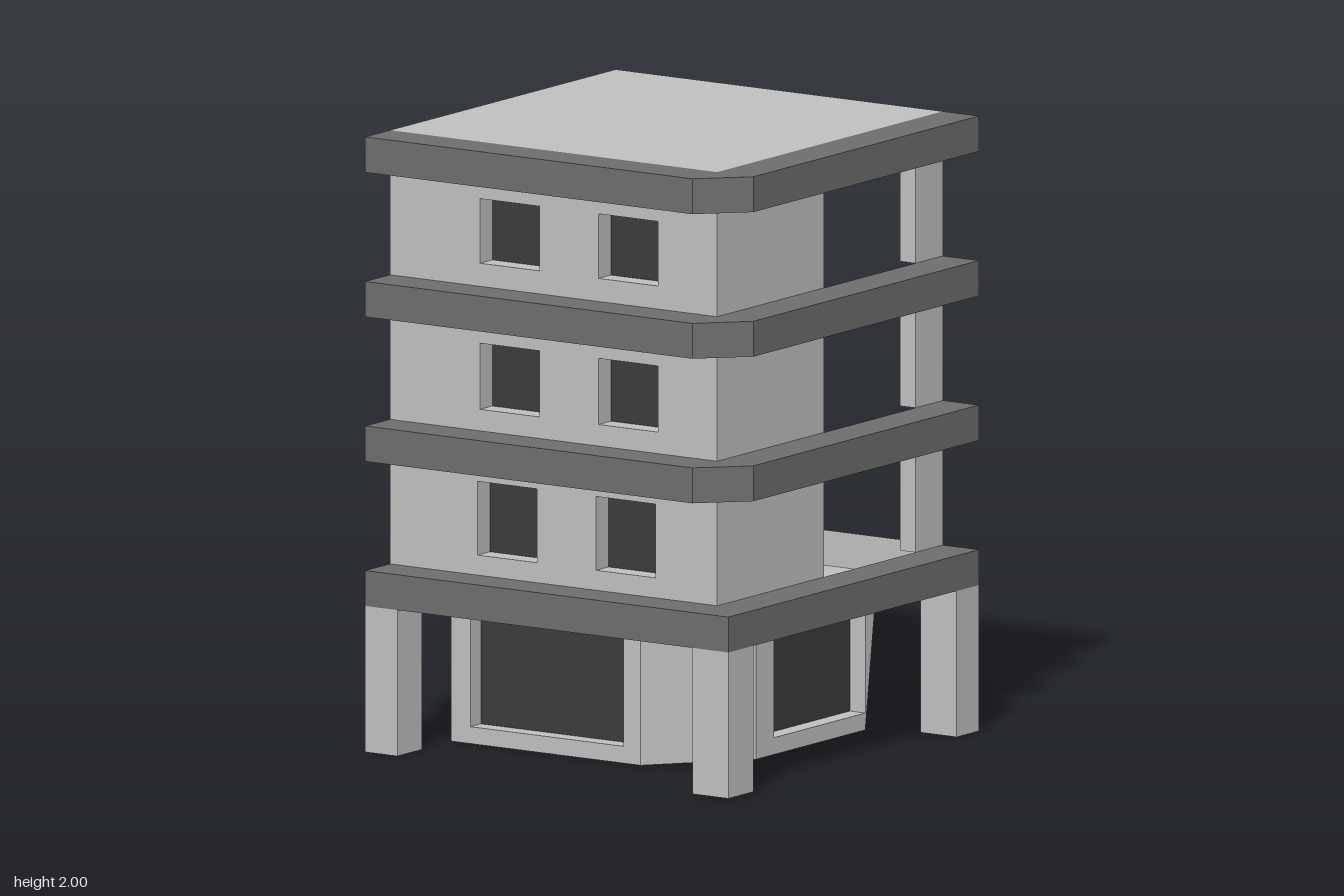
import * as THREE from 'three';

const mat = (name, color) => {
  const m = new THREE.MeshStandardMaterial({ color, side: THREE.DoubleSide });
  m.name = name;
  return m;
};

export function createModel() {
  const concrete = mat('light concrete', 0xc0c0c0);
  const trim = mat('dark grey trim', 0x6e6e6e);
  const glass = mat('dark glass', 0x3b3b3b);

  const E = 0.705;  // outer edge of the slabs
  const W = 0.565;  // facade line, set back under the slabs
  const SLAB = 0.115;
  const model = new THREE.Group();
  model.name = 'cornerBuilding';

  const add = (parent, name, geometry, material, x = 0, y = 0, z = 0) => {
    const mesh = new THREE.Mesh(geometry, material);
    mesh.name = name;
    mesh.position.set(x, y, z);
    parent.add(mesh);
    return mesh;
  };
  const shapeOf = (pts) => new THREE.Shape(pts.map(([x, y]) => new THREE.Vector2(x, y)));

  // Horizontal sheet from an outline in (x, z)
  const sheet = (name, pts, y, material) =>
    add(model, name, new THREE.ShapeGeometry(shapeOf(pts)).rotateX(Math.PI / 2), material, 0, y, 0);

  // Box without some faces; keep lists faces in the order +x -x +y -y +z -z
  const openBox = (w, h, d, keep) => {
    const g = new THREE.BoxGeometry(w, h, d);
    const index = Array.from(g.index.array);
    g.setIndex(keep.flatMap((f) => index.slice(f * 6, f * 6 + 6)));
    g.clearGroups();
    return g;
  };

  // Vertical wall from a to b in (x, z), outside on the right-hand side,
  // with recessed windows [s0, s1, y0, y1] measured along the wall
  const wall = (name, a, b, y0, y1, material, windows = [], depth = 0.07, slant = 0) => {
    const dx = b[0] - a[0], dz = b[1] - a[1], len = Math.hypot(dx, dz);
    const g = new THREE.Group();
    g.name = name;
    g.position.set(a[0], 0, a[1]);
    g.rotation.y = Math.atan2(-dz, dx);
    model.add(g);
    const shape = shapeOf([[0, y0], [len - slant, y0], [len, y1], [0, y1]]);
    for (const [s0, s1, h0, h1] of windows) {
      shape.holes.push(new THREE.Path([[s0, h0], [s0, h1], [s1, h1], [s1, h0]].map((p) => new THREE.Vector2(...p))));
      const w = s1 - s0, h = h1 - h0, cx = (s0 + s1) / 2, cy = (h0 + h1) / 2;
      add(g, 'windowReveal', openBox(w, h, depth, [0, 1, 2, 3]), concrete, cx, cy, -depth / 2);
      add(g, 'windowPane', new THREE.PlaneGeometry(w, h), glass, cx, cy, -depth);
    }
    add(g, name + 'Face', new THREE.ShapeGeometry(shape), material);
  };

  // Hollow slab edges: square at the first floor, chamfered corner above
  const slabBottoms = [0.475, 0.945, 1.415, 1.885];
  slabBottoms.forEach((y, i) => {
    const top = y + SLAB;
    const corner = i === 0 ? [[E, E]] : [[W, E], [E, W]];
    const edge = [[-E, W], [-E, E], ...corner, [E, -E], [W, -E]];
    const ledge = [...edge, [W, W]];
    for (let k = 0; k < edge.length - 1; k++) wall('slabEdge', edge[k], edge[k + 1], y, top, trim);
    sheet('slabLedge', ledge, top, trim);
    if (i > 0) sheet('slabSoffit', ledge, y, concrete);
  });

  // First floor deck, its rear edge, and the roof
  sheet('firstFloorDeck', [[-E, -E], [E, -E], [E, E], [-E, E]], 0.475, concrete);
  wall('deckRearEdge', [W, -E], [-E, -E], 0.475, 0.59, concrete);
  sheet('roof', [[-E, -E], [W, -E], [W, W], [-E, W]], 2, concrete);

  // Upper storeys: windowed front, and a side wall with a wide opening
  const storeys = [
    { y: 0.59, x: [-0.365, 0.095], h: [0.655, 0.895] },
    { y: 1.06, x: [-0.355, 0.105], h: [1.13, 1.345] },
    { y: 1.53, x: [-0.355, 0.105], h: [1.605, 1.815] },
  ];
  for (const { y, x, h } of storeys) {
    const top = y + 0.355;
    const windows = x.map((x0) => [x0 + E, x0 + E + 0.23, ...h]);
    wall('frontWall', [-E, W], [W, W], y, top, concrete, windows);
    wall('sideWall', [W, W], [W, -0.035], y, top, concrete);
    wall('openingReveal', [W, -0.035], [W - 0.06, -0.035], y, top, concrete);
    wall('openingReveal', [W - 0.06, -0.55], [W, -0.55], y, top, concrete);
    wall('sidePier', [W, -0.55], [W, -E], y, top, concrete);
  }

  // Ground floor columns, hollow with open ends
  for (const [x0, x1] of [[-E, -0.58], [W, E]]) {
    for (const [z0, z1] of [[-E, -0.58], [W, E]]) {
      add(model, 'column', openBox(x1 - x0, 0.475, z1 - z0, [0, 1, 4, 5]), concrete,
        (x0 + x1) / 2, 0.2375, (z0 + z1) / 2);
    }
  }

  // Ground floor shop: two large windows and a splayed corner
  const S = 0.395, B = -0.58;
  wall('shopFront', [-0.585, S], [0.15, S], 0, 0.475, concrete, [[0.075, 0.67, 0.055, 0.415]], 0.06);
  wall('shopCorner', [0.15, S], [S, 0.1], 0, 0.475, concrete);
  wall('shopSide', [S, 0.1], [S, B], 0, 0.475, concrete, [[0.1, 0.615, 0.055, 0.415]], 0.06, 0.065);

  // Rear shop wall, its lower corner pulled slightly inward
  const rear = new THREE.PlaneGeometry(0.98, 0.475).rotateY(Math.PI);
  rear.translate(-0.095, 0.2375, B);
  const p = rear.attributes.position;
  for (let i = 0; i < p.count; i++) if (p.getX(i) > 0 && p.getY(i) < 0.1) p.setZ(i, B + 0.065);
  rear.computeVertexNormals();
  add(model, 'shopRearWall', rear, concrete);

  return model;
}
